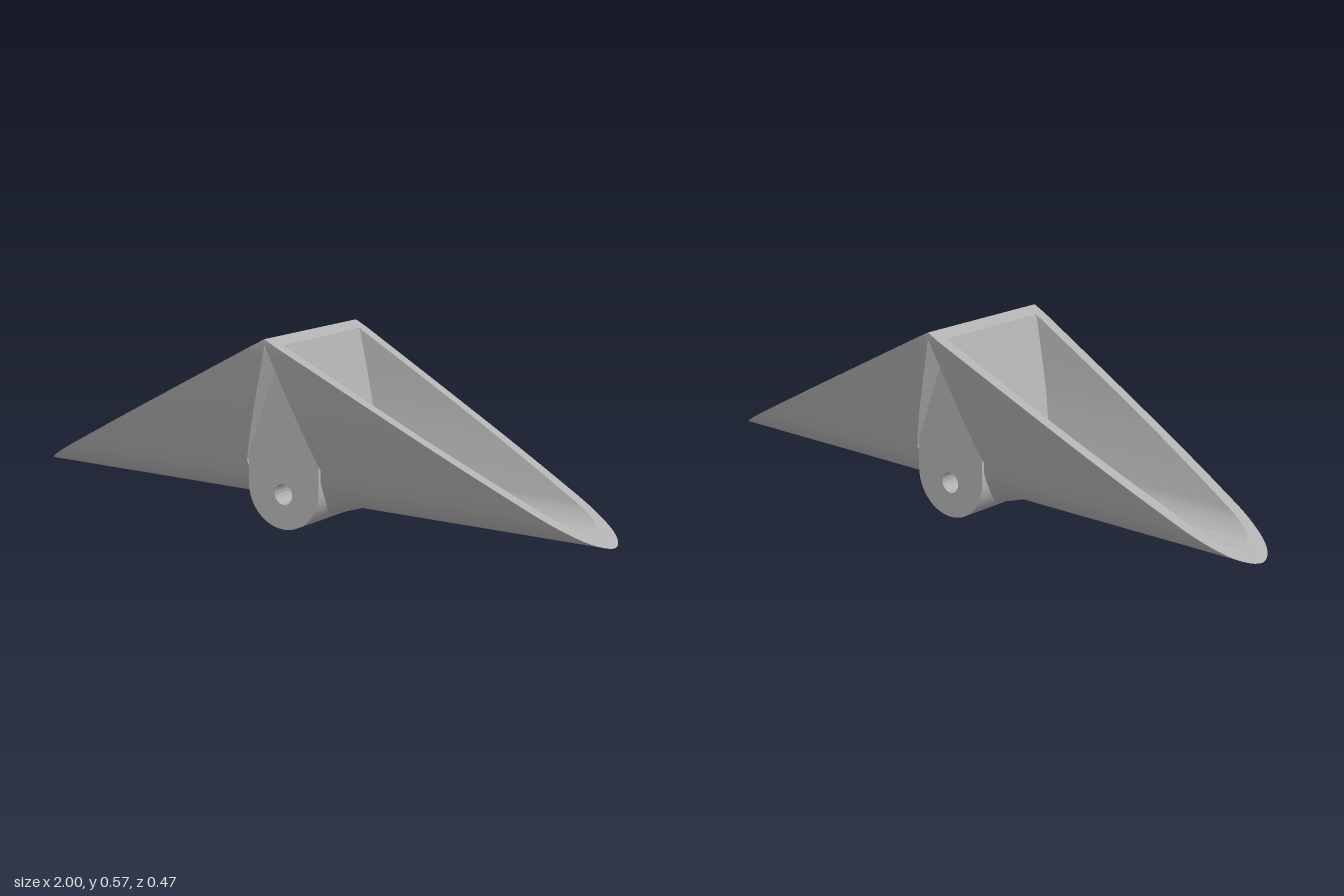
import * as THREE from 'three';
import { toCreasedNormals } from 'three/addons/utils/BufferGeometryUtils.js';

const TOP = 0.575, FLARE_Y = 0.19;
const rimX = y => (TOP - y) / 0.508;                         // sloped open rim
const wedgeX = y => Math.max(0, 0.165 * (0.556 - y) / 0.454); // underside of the divider

// Mirrored U profile, as [z, y], from half-profile points
function profile(points, corner) {
  const curve = new THREE.CatmullRomCurve3([
    ...points.map(([z, y]) => new THREE.Vector3(0, y, z)),
    ...points.slice(0, -1).reverse().map(([z, y]) => new THREE.Vector3(0, y, -z)),
  ]);
  const pts = curve.getPoints(64).map(p => [p.z, p.y]);
  return [corner, ...pts, [-corner[0], corner[1]]];
}

const outer = profile([[0.233, 0.555], [0.198, 0.395], [0.172, 0.288], [0.143, 0.193],
  [0.118, 0.132], [0.073, 0.087], [0, 0.067]], [0.233, TOP]);
const inner = profile([[0.196, 0.552], [0.154, 0.35], [0.125, 0.252], [0.097, 0.172],
  [0.082, 0.139], [0.049, 0.111], [0, 0.102]], [0.197, 0.556]);

// Row of 3D points: profile placed at an x given by its height
const row = (prof, xOf, yOf = y => y) => prof.map(([z, y]) => new THREE.Vector3(xOf(y), yOf(y), z));

function bucketGeometry(side) {
  const pos = [];
  const tri = (a, b, c) => {
    const area = b.clone().sub(a).cross(c.clone().sub(a)).length();
    if (area < 1e-9) return;
    for (const p of side > 0 ? [a, b, c] : [a, c, b]) pos.push(side * p.x, p.y, p.z);
  };
  const strip = (a, b, count = a.length - 1) => {
    for (let i = 0; i < count; i++) {
      tri(a[i], a[i + 1], b[i + 1]);
      tri(a[i], b[i + 1], b[i]);
    }
  };
  const flare = y => Math.max(0, (FLARE_Y - y) / 0.123);
  const root = row(outer, y => wedgeX(y) - 0.09 * flare(y), y => y - 0.035 * flare(y));
  const shoulder = row(outer, y => Math.min(wedgeX(y) + 0.02, rimX(y)));
  const outerRim = row(outer, rimX);
  const innerRim = row(inner, rimX);
  const divider = row(inner, y => 0.038 + wedgeX(y));
  const half = (outer.length - 1) / 2;

  strip(root, shoulder);                                   // flare into the pivot
  strip(shoulder, outerRim);                               // outside wall
  strip([...outerRim, outerRim[0]], [...innerRim, innerRim[0]]); // rim
  strip(innerRim, divider);                                // inside wall
  strip(divider, [...divider].reverse(), half);            // divider face
  strip([...root].reverse(), root, half);                  // wedge underside

  const g = new THREE.BufferGeometry();
  g.setAttribute('position', new THREE.Float32BufferAttribute(pos, 3));
  return toCreasedNormals(g, 0.5);
}

// Pivot block: pointed top, round bottom, axle hole
function pivotGeometry() {
  const r = 0.125, depth = 0.286;
  const s = new THREE.Shape();
  s.moveTo(0, 0.556);
  s.lineTo(-r, 0.212);
  s.lineTo(-r, r);
  s.absarc(0, r, r, Math.PI, Math.PI * 2, false);
  s.lineTo(r, 0.212);
  s.closePath();
  const hole = new THREE.Path();
  hole.absarc(0, 0.105, 0.031, 0, Math.PI * 2, true);
  s.holes.push(hole);
  const g = new THREE.ExtrudeGeometry(s, { depth, bevelEnabled: false, curveSegments: 32 });
  g.translate(0, 0, -depth / 2);
  return toCreasedNormals(g, 0.5);
}

export function createModel() {
  const group = new THREE.Group();
  group.name = 'tippingBucket';
  const grey = new THREE.MeshStandardMaterial({ color: 0xb0b0b0 });
  grey.name = 'grey';
  const add = (name, geometry) => {
    const mesh = new THREE.Mesh(geometry, grey);
    mesh.name = name;
    group.add(mesh);
  };
  add('leftBucket', bucketGeometry(1));
  add('rightBucket', bucketGeometry(-1));
  add('pivotBlock', pivotGeometry());
  return group;
}
